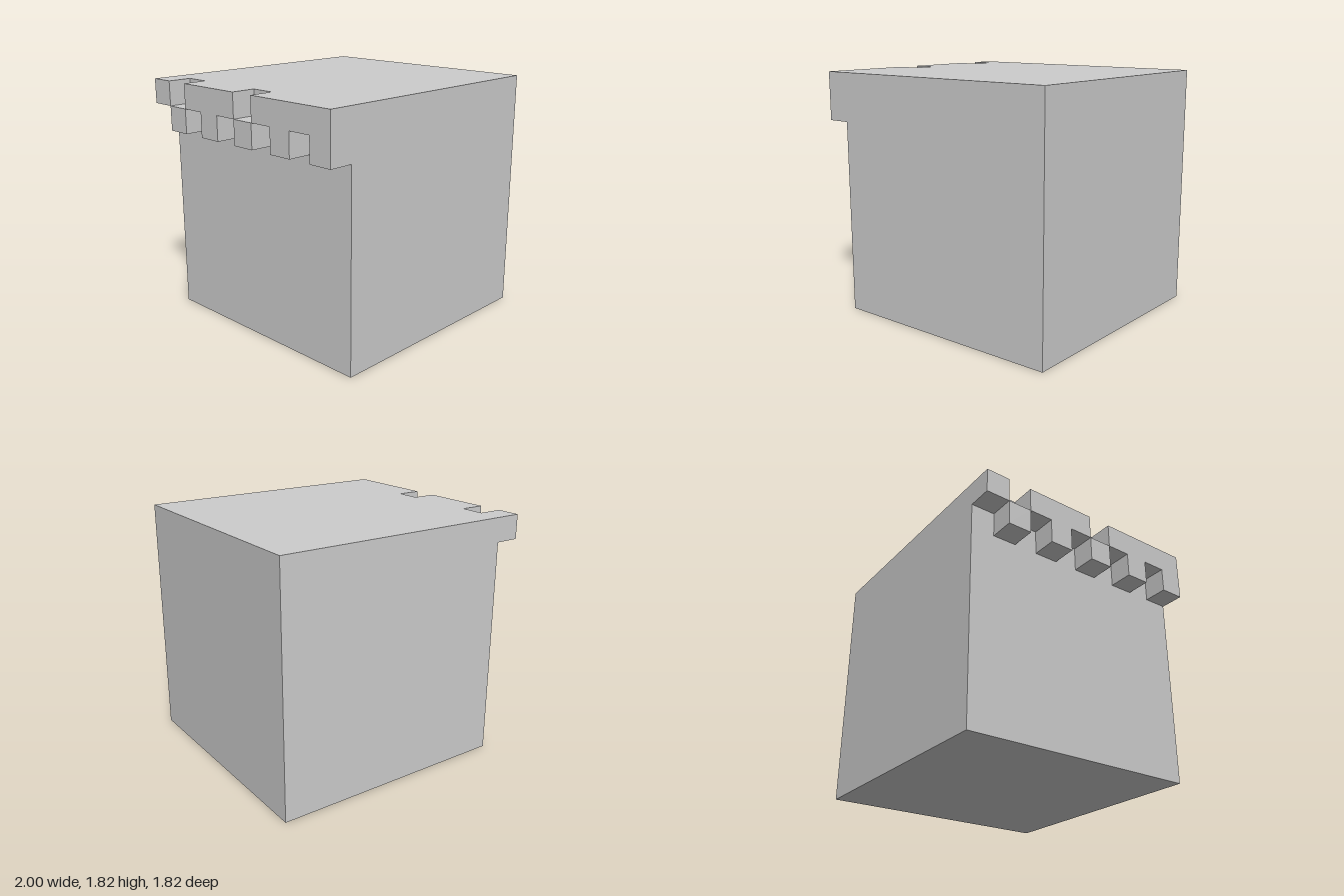
import * as THREE from 'three';

const U = 2 / 11; // side of one small cube; the body is 10 cubes wide

export function createModel() {
  const group = new THREE.Group();
  const material = new THREE.MeshStandardMaterial({ color: 0xcccccc, flatShading: true });

  // Box given by its low corner and size, counted in small cubes
  function addBlock(name, [x, y, z], [w, h, d]) {
    const mesh = new THREE.Mesh(new THREE.BoxGeometry(w * U, h * U, d * U), material);
    mesh.position.set((x + w / 2) * U - 1, (y + h / 2) * U, (z + d / 2 - 5) * U);
    mesh.name = name;
    group.add(mesh);
  }

  // Main cube
  addBlock('body', [1, 0, 0], [10, 10, 10]);

  // Upper row along the -x edge: runs of [start, length] with two one-cube notches
  for (const [start, length] of [[0, 1], [2, 3], [6, 4]]) {
    addBlock('upperLedge', [0, 9, start], [1, 1, length]);
  }

  // Lower row: every second cube
  for (let z = 1; z < 10; z += 2) {
    addBlock('lowerTooth', [0, 8, z], [1, 1, 1]);
  }

  return group;
}
